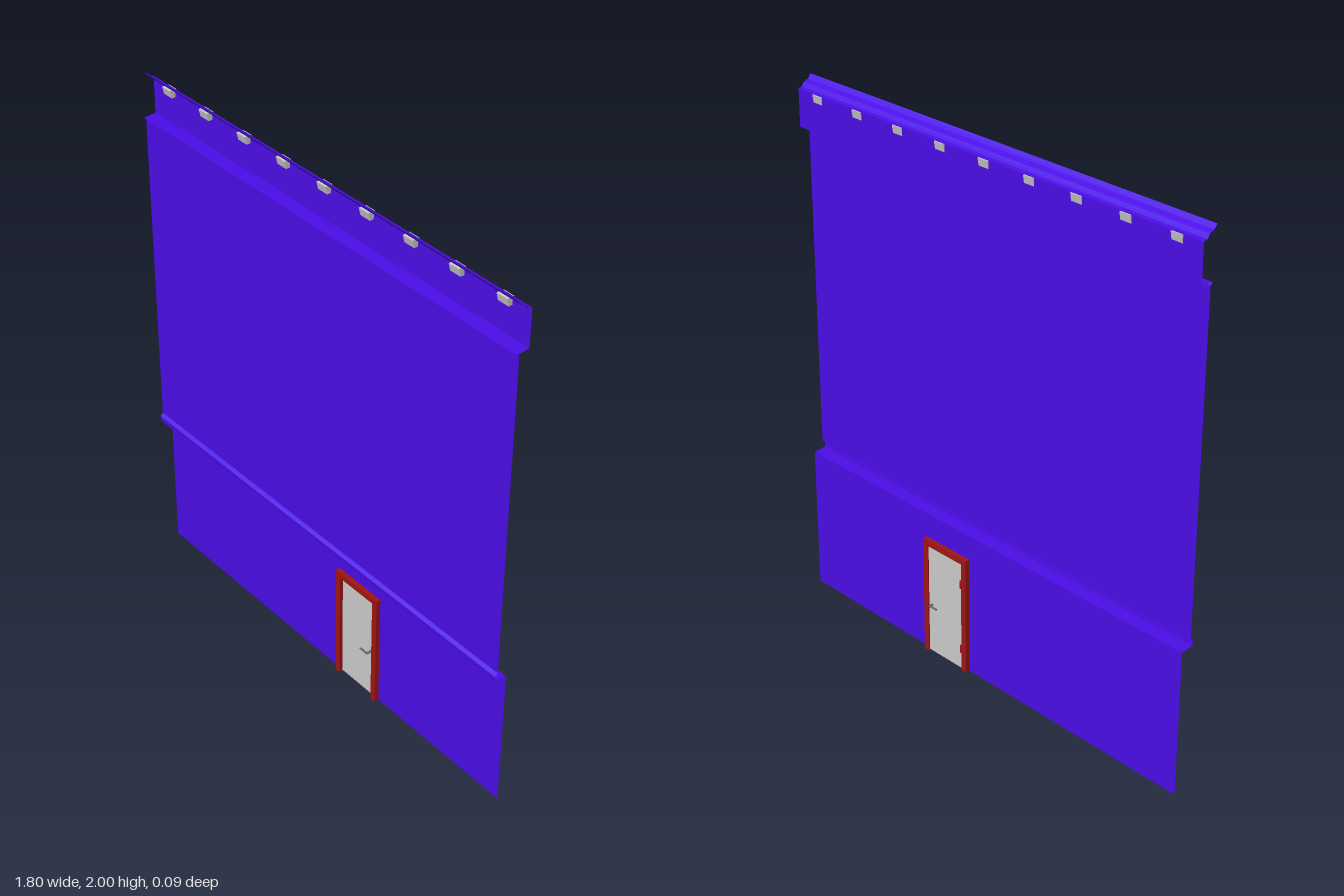
import * as THREE from 'three';

const HALF = 0.9, BACK = -0.012, MID = 0.027;
const paint = (color, extra = {}) => new THREE.MeshStandardMaterial({ color, ...extra });
const wallMat = paint(0x4b0de6, { side: THREE.DoubleSide, flatShading: true });
const frameMat = paint(0xa01414);
const greyMat = paint(0xcccccc);
const handleMat = paint(0x666666);

function add(parent, name, geometry, material, x = 0, y = 0, z = 0) {
  const mesh = new THREE.Mesh(geometry, material);
  mesh.name = name;
  mesh.position.set(x, y, z);
  parent.add(mesh);
  return mesh;
}

function box(parent, name, mat, x0, x1, y0, y1, z0, z1) {
  return add(parent, name, new THREE.BoxGeometry(x1 - x0, y1 - y0, z1 - z0), mat,
    (x0 + x1) / 2, (y0 + y1) / 2, (z0 + z1) / 2);
}

// Sweeps a [z, y] profile, listed from bottom to top, along the facade width
function sweep(profile) {
  const pos = [];
  for (let i = 0; i < profile.length - 1; i++) {
    const [z0, y0] = profile[i], [z1, y1] = profile[i + 1];
    pos.push(-HALF, y0, z0, HALF, y0, z0, HALF, y1, z1);
    pos.push(-HALF, y0, z0, HALF, y1, z1, -HALF, y1, z1);
  }
  const g = new THREE.BufferGeometry();
  g.setAttribute('position', new THREE.Float32BufferAttribute(pos, 3));
  g.computeVertexNormals();
  return g;
}

function createWall() {
  const wall = new THREE.Group();
  wall.name = 'wall';
  // Ground floor sheet, notched around the doorway
  const outline = [[-HALF, 0], [0.085, 0], [0.085, 0.45], [0.275, 0.45], [0.275, 0], [HALF, 0], [HALF, 0.56], [-HALF, 0.56]];
  const shape = new THREE.Shape(outline.map(([x, y]) => new THREE.Vector2(x, y)));
  add(wall, 'groundFloorWall', new THREE.ShapeGeometry(shape), wallMat, 0, 0, BACK);
  add(wall, 'beltMoulding', sweep([[BACK, 0.56], [0.036, 0.563], [0.038, 0.585], [MID, 0.595]]), wallMat);
  add(wall, 'mainWall', sweep([[MID, 0.595], [MID, 1.812]]), wallMat);
  add(wall, 'upperLedge', sweep([[MID, 1.812], [0.036, 1.82], [BACK, 1.823]]), wallMat);
  add(wall, 'parapet', sweep([[BACK, 1.823], [BACK, 1.96]]), wallMat);
  add(wall, 'cornice', sweep([[BACK, 1.96], [0.002, 1.963], [0.012, 1.977], [0.03, 1.985], [0.042, 2]]), wallMat);
  return wall;
}

// Row of small wedge-shaped brackets under the cornice
function createBrackets() {
  const row = new THREE.Group();
  row.name = 'brackets';
  const side = new THREE.Shape([[0.01, 1.958], [-0.017, 1.958], [-0.012, 1.93], [0.003, 1.93]]
    .map(([z, y]) => new THREE.Vector2(-z, y)));
  const geometry = new THREE.ExtrudeGeometry(side, { depth: 0.044, bevelEnabled: false });
  geometry.translate(0, 0, -0.022).rotateY(Math.PI / 2);
  for (let i = 0; i < 9; i++) add(row, 'bracket', geometry, greyMat, -0.8 + 0.2 * i);
  return row;
}

function createDoor() {
  const door = new THREE.Group();
  door.name = 'door';
  const z0 = -0.03, z1 = 0.005;
  // Frame
  box(door, 'frameRightPost', frameMat, 0.073, 0.096, 0, 0.443, z0, z1);
  box(door, 'frameLeftPost', frameMat, 0.266, 0.289, 0, 0.443, z0, z1);
  box(door, 'frameLintel', frameMat, 0.073, 0.289, 0.443, 0.465, z0, z1);
  // Leaf and hinges
  box(door, 'doorLeaf', greyMat, 0.096, 0.266, 0.006, 0.442, -0.026, -0.008);
  for (const y of [0.09, 0.36])
    add(door, 'hinge', new THREE.CylinderGeometry(0.005, 0.005, 0.03, 10), frameMat, 0.097, y, -0.029);
  // Lever handle on both faces
  add(door, 'handleSpindle', new THREE.CylinderGeometry(0.004, 0.004, 0.053, 10), handleMat, 0.249, 0.204, -0.016)
    .rotation.x = Math.PI / 2;
  for (const z of [-0.04, 0.01])
    add(door, 'handleLever', new THREE.CylinderGeometry(0.0035, 0.0035, 0.037, 10), handleMat, 0.233, 0.204, z)
      .rotation.z = Math.PI / 2;
  return door;
}

export function createModel() {
  const model = new THREE.Group();
  model.name = 'facade';
  model.add(createWall(), createBrackets(), createDoor());
  return model;
}
